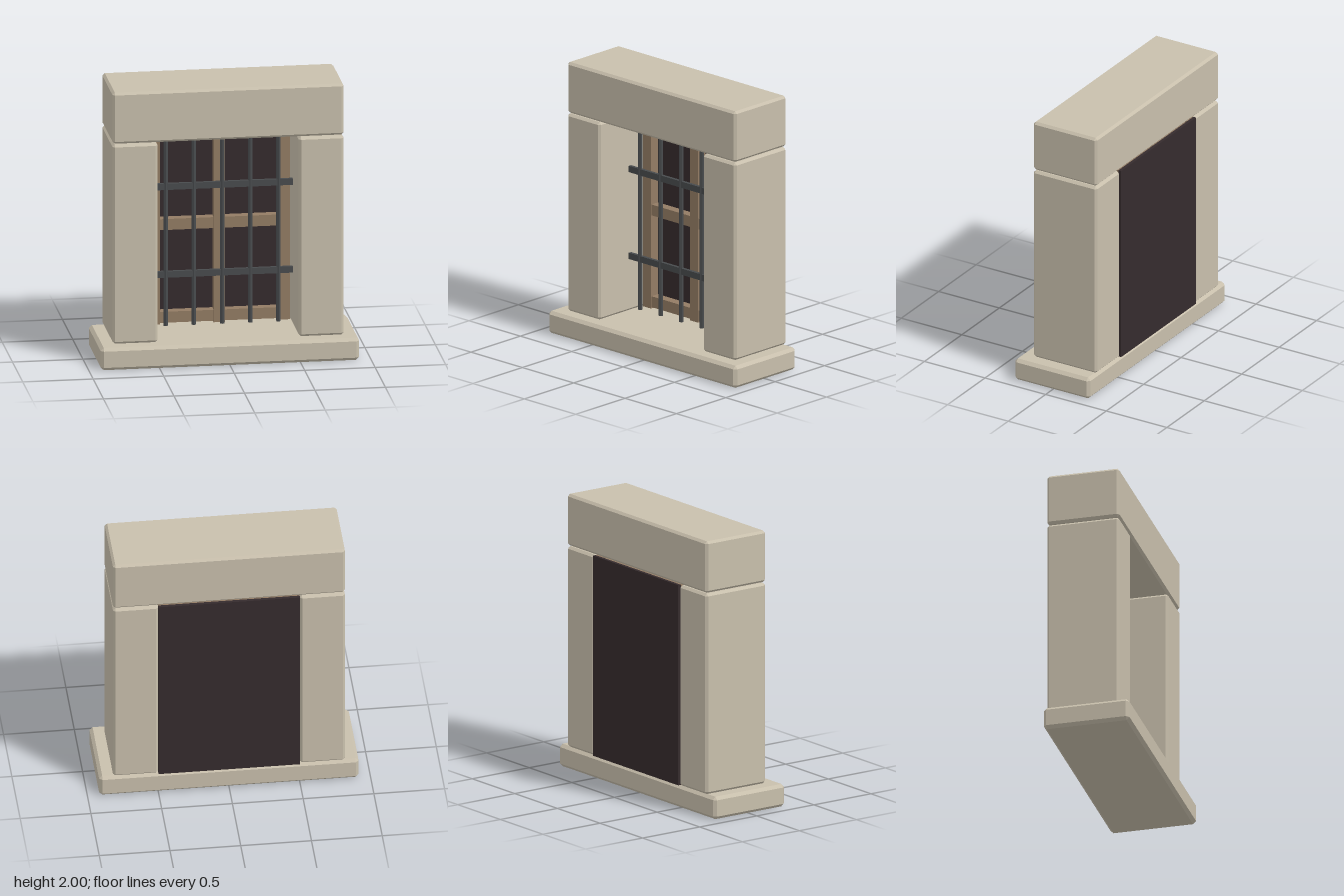
import * as THREE from 'three';
import { ConvexGeometry } from 'three/addons/geometries/ConvexGeometry.js';

const stone = new THREE.MeshStandardMaterial({ name: 'stone', color: 0xc8bfac });
const wood = new THREE.MeshStandardMaterial({ name: 'wood', color: 0x937c64 });
const iron = new THREE.MeshStandardMaterial({ name: 'iron', color: 0x484b4d });
const glass = new THREE.MeshStandardMaterial({ name: 'darkGlass', color: 0x352b2d });

// Box with flat chamfers on every edge
function chamferedBox(w, h, d, b) {
  const half = [w / 2, h / 2, d / 2];
  const points = [];
  for (const sx of [-1, 1]) for (const sy of [-1, 1]) for (const sz of [-1, 1]) {
    for (let axis = 0; axis < 3; axis++) {
      const [x, y, z] = half.map((v, i) => (i === axis ? v : v - b));
      points.push(new THREE.Vector3(sx * x, sy * y, sz * z));
    }
  }
  return new ConvexGeometry(points);
}

// Places a plain or chamfered block between two limits on each axis
function block(parent, name, material, [x0, x1], [y0, y1], [z0, z1], bevel = 0) {
  const size = [x1 - x0, y1 - y0, z1 - z0];
  const geometry = bevel ? chamferedBox(...size, bevel) : new THREE.BoxGeometry(...size);
  const mesh = new THREE.Mesh(geometry, material);
  mesh.name = name;
  mesh.position.set((x0 + x1) / 2, (y0 + y1) / 2, (z0 + z1) / 2);
  parent.add(mesh);
}

function namedGroup(parent, name) {
  const group = new THREE.Group();
  group.name = name;
  parent.add(group);
  return group;
}

export function createModel() {
  const model = new THREE.Group();
  model.name = 'barredWindow';

  // Stone surround
  const surround = namedGroup(model, 'stoneSurround');
  const depth = [-0.307, 0.218];
  block(surround, 'sill', stone, [-0.917, 0.917], [0, 0.163], [-0.307, 0.315], 0.022);
  block(surround, 'leftJamb', stone, [0.5, 0.82], [0.163, 1.62], depth, 0.017);
  block(surround, 'rightJamb', stone, [-0.82, -0.5], [0.163, 1.62], depth, 0.017);
  block(surround, 'lintel', stone, [-0.82, 0.82], [1.626, 2], depth, 0.017);

  // Dark pane closing the back of the opening
  block(model, 'windowPane', glass, [-0.5, 0.5], [0.165, 1.62], [-0.315, -0.292]);

  // Wooden frame: three uprights and three pairs of rails
  const frame = namedGroup(model, 'woodenFrame');
  for (const [x0, x1] of [[-0.5, -0.42], [-0.04, 0.04], [0.42, 0.5]])
    block(frame, 'frameUpright', wood, [x0, x1], [0.165, 1.62], [-0.292, -0.22]);
  for (const y of [0.215, 0.893, 1.57])
    for (const [x0, x1] of [[-0.42, -0.04], [0.04, 0.42]])
      block(frame, 'frameRail', wood, [x0, x1], [y - 0.04, y + 0.04], [-0.292, -0.225]);

  // Iron grille: upright rods through two flat crossbars
  const grille = namedGroup(model, 'ironGrille');
  const rod = new THREE.CylinderGeometry(0.017, 0.017, 1.39, 6).toNonIndexed();
  rod.computeVertexNormals();
  for (let i = -2; i <= 2; i++) {
    const mesh = new THREE.Mesh(rod, iron);
    mesh.name = 'uprightRod';
    mesh.position.set(i * 0.2, 0.89, -0.09);
    grille.add(mesh);
  }
  for (const y of [0.57, 1.212])
    block(grille, 'crossbar', iron, [-0.5, 0.5], [y - 0.023, y + 0.023], [-0.102, -0.078]);

  return model;
}
